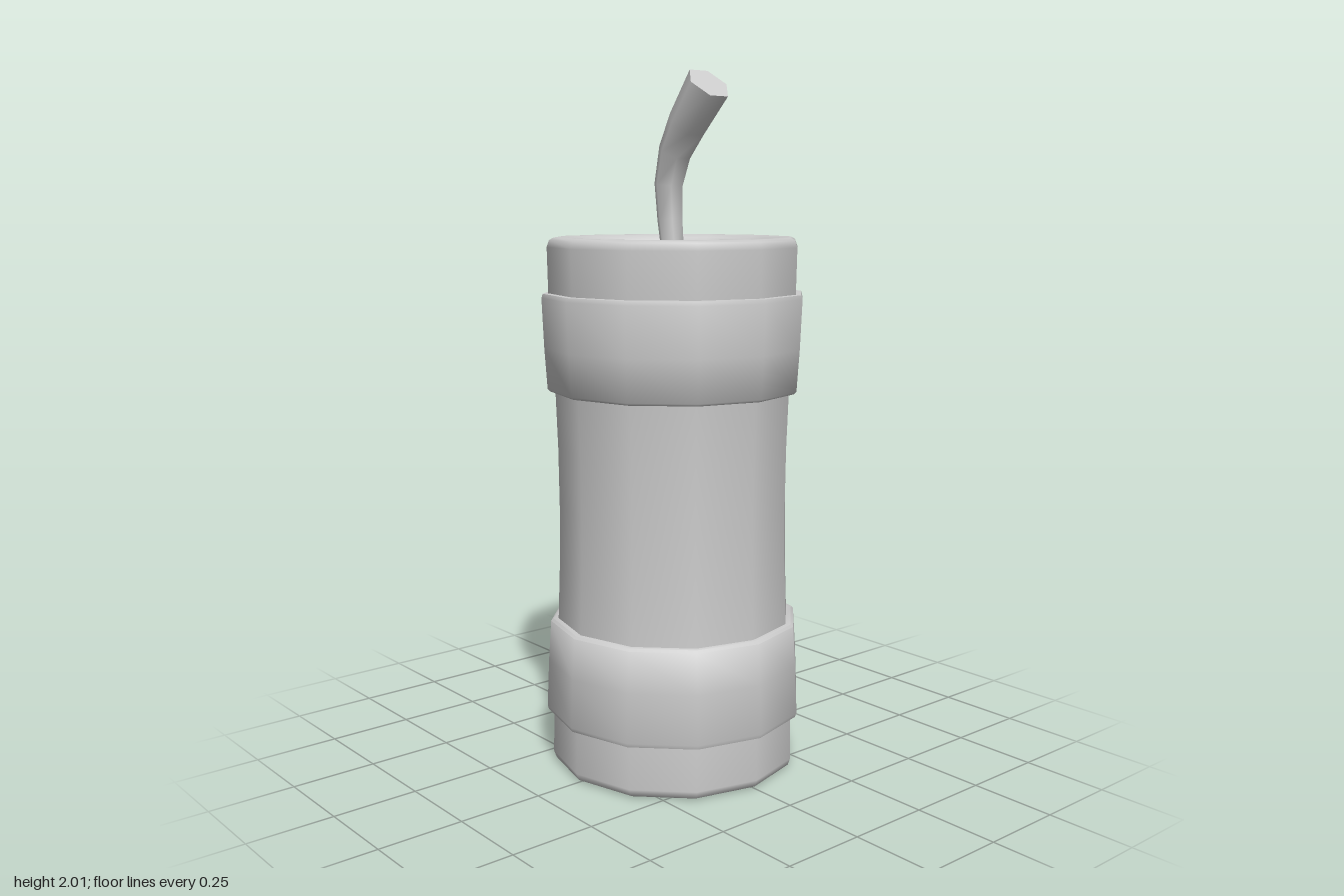
import * as THREE from 'three';
import { toCreasedNormals } from 'three/addons/utils/BufferGeometryUtils.js';

const SIDES = 12;
const MID = 0.776; // mid height of the stick
const material = new THREE.MeshStandardMaterial({ color: 0xcccccc });
const vec = ([x, y]) => new THREE.Vector2(x, y);

function add(group, name, geometry) {
  const mesh = new THREE.Mesh(geometry, material);
  mesh.name = name;
  group.add(mesh);
  return mesh;
}

// Waisted casing with rounded rims and shallow recessed ends
function casing() {
  const upper = [
    [0.338, MID], [0.34, 0.95], [0.346, 1.12], [0.362, 1.38], [0.365, 1.525],
    [0.358, 1.545], [0.345, 1.552], [0.315, 1.552], [0.295, 1.543], [0.286, 1.53],
    [0.281, 1.518], [0, 1.518],
  ];
  const lower = upper.slice(1).reverse().map(([r, y]) => [r, 2 * MID - y]);
  return new THREE.LatheGeometry([...lower, ...upper].map(vec), SIDES);
}

// Flared wrap with softened edges; flip = -1 mirrors it to the lower end
function wrap(flip) {
  const profile = [
    [0.335, 1.114], [0.361, 1.114], [0.368, 1.121], [0.376, 1.24], [0.382, 1.382],
    [0.378, 1.394], [0.35, 1.396],
  ].map(([r, y]) => [r, MID + flip * (y - MID)]);
  if (flip < 0) profile.reverse();
  return toCreasedNormals(new THREE.LatheGeometry(profile.map(vec), SIDES), 0.9);
}

// Six-sided fuse that bends and thickens towards its tip
function fuse() {
  const path = [ // x, y, radius
    [-0.004, 1.5, 0.034], [-0.018, 1.6, 0.038], [-0.024, 1.7, 0.043],
    [0.003, 1.79, 0.049], [0.055, 1.865, 0.057], [0.148, 1.972, 0.065],
  ];
  const last = path.length - 1;
  const geometry = new THREE.CylinderGeometry(1, 1, 1, 6, last);
  const pos = geometry.attributes.position;
  for (let i = 0; i < pos.count; i++) {
    const k = Math.round((pos.getY(i) + 0.5) * last);
    const [x, y, r] = path[k];
    const a = path[Math.max(k - 1, 0)], b = path[Math.min(k + 1, last)];
    const t = new THREE.Vector2(b[0] - a[0], b[1] - a[1]).normalize();
    const s = pos.getX(i) * r;
    pos.setXYZ(i, x + t.y * s, y - t.x * s, pos.getZ(i) * r);
  }
  return toCreasedNormals(geometry, 1.2);
}

export function createModel() {
  const group = new THREE.Group();
  group.name = 'fusedStick';
  add(group, 'casing', casing());
  add(group, 'upperWrap', wrap(1));
  add(group, 'lowerWrap', wrap(-1));
  add(group, 'fuse', fuse());
  return group;
}
